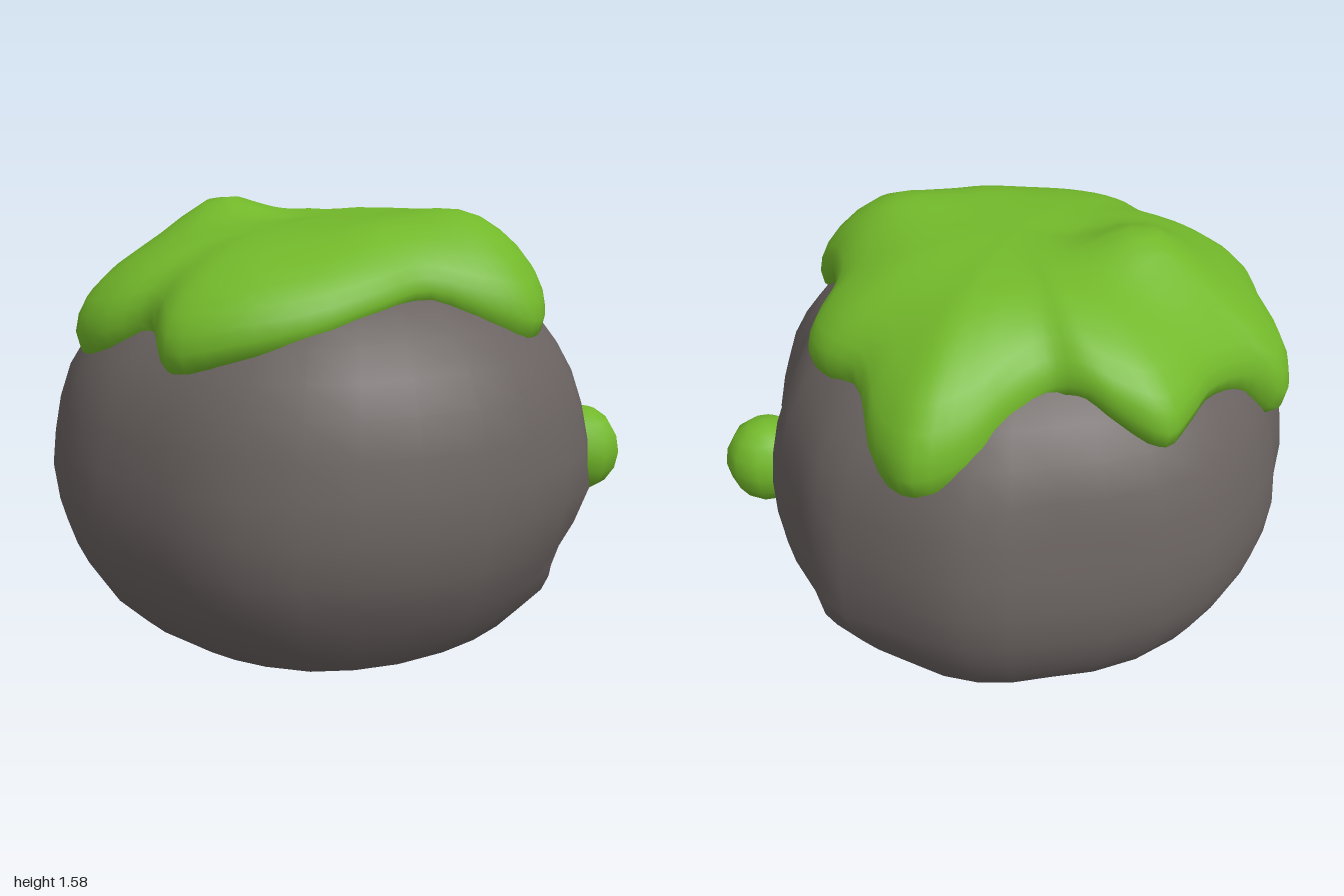
import * as THREE from 'three';
import { mergeVertices } from 'three/addons/utils/BufferGeometryUtils.js';

const rockMat = new THREE.MeshStandardMaterial({ color: 0x696260 });
rockMat.name = 'stone grey';
const mossMat = new THREE.MeshStandardMaterial({ color: 0x72b82a });
mossMat.name = 'moss green';

// Closed smooth outline through [x, z, y] points, sampled n times
function outline(points, n) {
  const curve = new THREE.CatmullRomCurve3(
    points.map(([x, z, y = 0]) => new THREE.Vector3(x, y, z)), true);
  return Array.from({ length: n }, (_, j) => curve.getPoint(j / n));
}

// Skin closed rings listed from the top centre outwards and down
function loft(rings, n, pointAt) {
  const pos = [], index = [];
  for (let i = 0; i < rings; i++)
    for (let j = 0; j < n; j++) pos.push(...pointAt(i, j));
  for (let i = 0; i < rings - 1; i++)
    for (let j = 0; j < n; j++) {
      const k = (j + 1) % n;
      const a = i * n + j, b = a + n, c = (i + 1) * n + k, d = i * n + k;
      index.push(a, b, c, a, c, d);
    }
  const g = new THREE.BufferGeometry();
  g.setAttribute('position', new THREE.Float32BufferAttribute(pos, 3));
  g.setIndex(index);
  const merged = mergeVertices(g, 1e-4);
  merged.computeVertexNormals();
  return merged;
}

const bump = (d2, size) => Math.exp(-d2 / (size * size));

function makeRock() {
  const n = 36;
  const rim = outline([
    [-1, 0.02], [-0.99, 0.22], [-0.94, 0.42], [-0.8, 0.67], [-0.58, 0.84], [-0.27, 0.96],
    [0, 1], [0.3, 0.94], [0.49, 0.84], [0.66, 0.69], [0.84, 0.5], [0.95, 0.22],
    [1, 0.04], [0.97, -0.17], [0.92, -0.4], [0.82, -0.57], [0.65, -0.72], [0.45, -0.88],
    [0.17, -0.98], [-0.05, -0.99], [-0.27, -0.96], [-0.5, -0.85], [-0.76, -0.73], [-0.93, -0.45],
    [-1, -0.22],
  ], n);
  // [height, share of the full outline]
  const profile = [
    [1.42, 0], [1.41, 0.25], [1.38, 0.48], [1.3, 0.65], [1.2, 0.775], [1.1, 0.86], [1, 0.92],
    [0.88, 0.96], [0.75, 0.985], [0.62, 1], [0.48, 0.985], [0.38, 0.955], [0.3, 0.92],
    [0.2, 0.86], [0.1, 0.765], [0.03, 0.63], [0, 0.47], [0, 0],
  ];
  // Shallow dents and swellings: [x, y, z, size, depth]
  const dents = [
    [0.4, 0.4, 0.83, 0.16, 0.07], [0.32, 0.18, 0.76, 0.14, -0.03], [0, 0.28, 0.93, 0.3, 0.05],
    [-0.6, 0.28, 0.7, 0.2, 0.04], [0.25, 0.6, 0.95, 0.14, -0.02], [0.68, 0.62, 0.68, 0.18, 0.05],
    [0.62, 1, 0.6, 0.25, 0.06], [0.95, 0.42, 0, 0.16, -0.03], [0.92, 0.6, 0.25, 0.18, 0.04],
    [0.6, 0.9, -0.7, 0.25, 0.03], [-0.65, 0.9, 0.65, 0.28, 0.03], [-0.7, 0.6, 0.75, 0.25, 0.02],
  ];
  const geo = loft(profile.length, n, (i, j) => {
    const [y, s] = profile[i];
    const x = rim[j].x * s, z = rim[j].z * s;
    let k = 1;
    for (const [dx, dy, dz, size, depth] of dents)
      k -= depth * bump((x - dx) ** 2 + (y - dy) ** 2 + (z - dz) ** 2, size);
    return [x * k, y, z * k];
  });
  return new THREE.Mesh(geo, rockMat);
}

function makeMoss() {
  const n = 96;
  // Scalloped hem: [x, z, height of the edge]
  const hem = outline([
    [-0.9, 0.1, 1.09], [-0.8, 0.31, 1.14], [-0.6, 0.48, 1.2], [-0.4, 0.56, 1.26],
    [-0.22, 0.61, 1.29], [-0.05, 0.75, 1.21], [0.1, 0.82, 1.15], [0.28, 0.74, 1.18],
    [0.38, 0.55, 1.31], [0.5, 0.41, 1.32], [0.68, 0.36, 1.18], [0.74, 0.24, 1.18],
    [0.75, 0.05, 1.18], [0.87, -0.13, 1.02], [0.89, -0.31, 1.01], [0.74, -0.41, 1.06],
    [0.57, -0.445, 1.17], [0.44, -0.5, 1.24], [0.4, -0.6, 1.26], [0.36, -0.72, 1.19],
    [0.28, -0.84, 1.11], [0.15, -0.84, 1.13],
    [0, -0.82, 1.15], [-0.2, -0.85, 1.1], [-0.33, -0.92, 0.98], [-0.47, -0.86, 0.98],
    [-0.58, -0.68, 1.12], [-0.8, -0.5, 1.06], [-0.84, -0.3, 1.1], [-0.79, -0.1, 1.17],
  ], n);
  // [share of the hem outline, rise from edge to crown], with the lip tucked under
  const profile = [
    [0, 1], [0.1, 1], [0.2, 0.99], [0.3, 0.975], [0.4, 0.95], [0.5, 0.915], [0.6, 0.865],
    [0.7, 0.79], [0.8, 0.685], [0.88, 0.575], [0.95, 0.43], [0.985, 0.3], [1, 0.16],
    [0.985, 0.03], [0.94, -0.02], [0.86, 0.02],
  ];
  // Swellings and hollows of the crown: [x, z, size, height]
  const swells = [
    [0.16, 0.58, 0.27, 0.11], [0.35, 0.15, 0.3, 0.03], [-0.17, -0.42, 0.2, 0.11],
    [-0.14, -0.2, 0.16, -0.03], [0.4, -0.38, 0.25, 0.035], [-0.22, 0.45, 0.22, 0.04],
  ];
  const geo = loft(profile.length, n, (i, j) => {
    const [t, rise] = profile[i], h = hem[j];
    const x = h.x * t, z = h.z * t;
    let crown = 1.525;
    for (const [sx, sz, size, height] of swells)
      crown += height * bump((x - sx) ** 2 + (z - sz) ** 2, size);
    return [x, h.y + (crown - h.y) * rise, z];
  });
  return new THREE.Mesh(geo, mossMat);
}

export function createModel() {
  const model = new THREE.Group();
  model.name = 'mossyBoulder';

  const rock = makeRock();
  rock.name = 'rock';

  const moss = makeMoss();
  moss.name = 'mossCap';

  // Round tuft on the front left side
  const tuft = new THREE.Mesh(new THREE.SphereGeometry(0.16, 10, 8), mossMat);
  tuft.name = 'mossTuft';
  tuft.scale.y = 1.06;
  tuft.position.set(0.68, 0.62, 0.68);

  model.add(rock, moss, tuft);
  return model;
}
